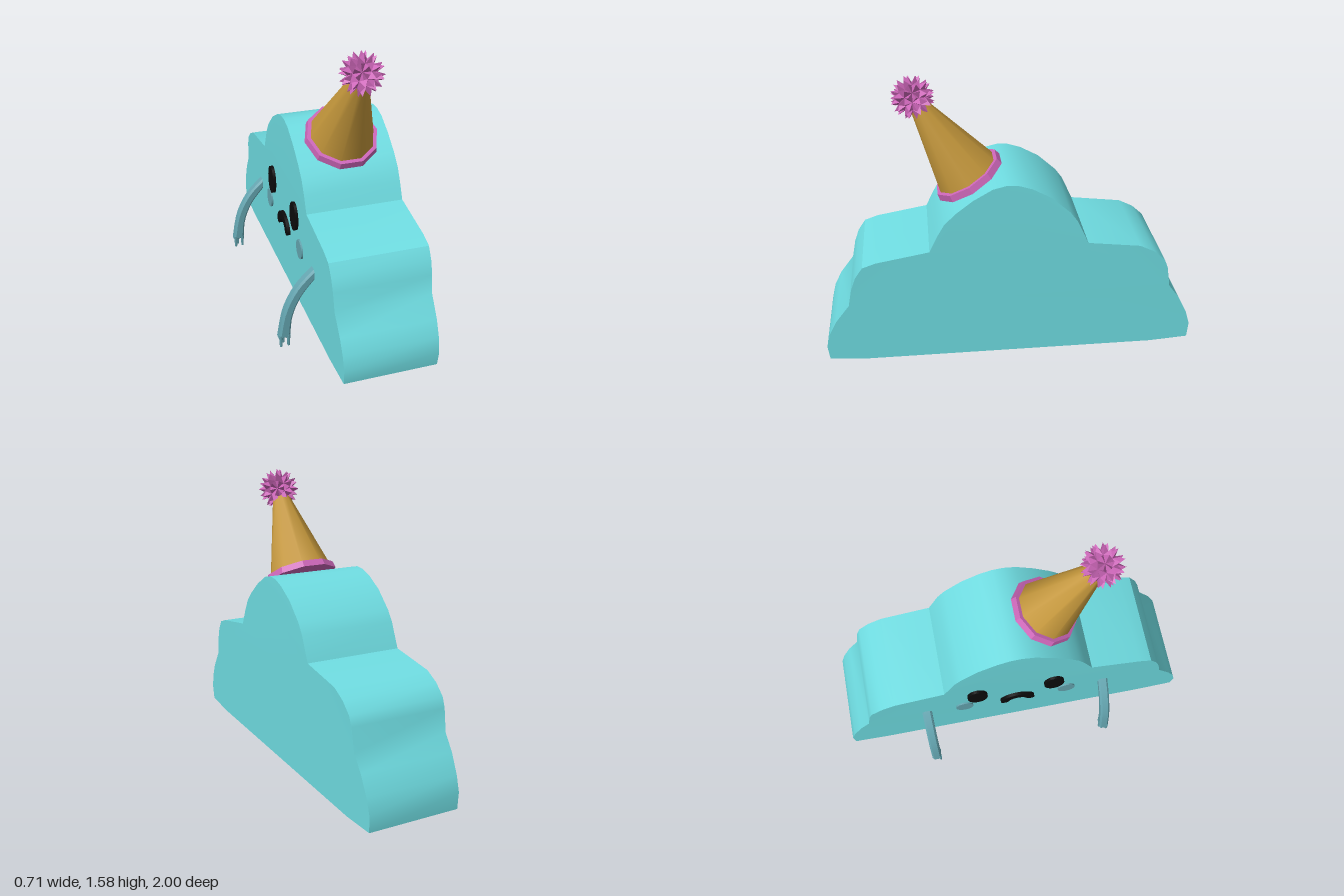
import * as THREE from 'three';
import { toCreasedNormals } from 'three/addons/utils/BufferGeometryUtils.js';

const mat = (color, flatShading = false) => new THREE.MeshStandardMaterial({ color, flatShading });
const blue = mat(0x6fdde2), armBlue = mat(0x64a5b0), black = mat(0x0c0c0c);
const gold = mat(0xc4973b), pink = mat(0xcc66b8, true);
const v2 = (pts) => pts.map(([a, b]) => new THREE.Vector2(a, b));

function add(parent, name, geometry, material, x = 0, y = 0, z = 0) {
  const m = new THREE.Mesh(geometry, material);
  m.name = name;
  m.position.set(x, y, z);
  parent.add(m);
  return m;
}

// Extrudes a (-z, y) outline along +x
function slab(shape, depth, curveSegments = 20) {
  return new THREE.ExtrudeGeometry(shape, { depth, bevelEnabled: false, curveSegments }).rotateY(Math.PI / 2);
}

function ellipse(rz, ry) {
  const s = new THREE.Shape();
  s.absellipse(0, 0, rz, ry, 0, Math.PI * 2);
  return s;
}

// Cloud outline as (z, y), narrowing slightly towards the bottom
function cloudGeometry() {
  const outline = [
    [0.78, 0.055], [0.99, 0.07], [1, 0.15], [0.98, 0.23], [0.94, 0.31], [0.865, 0.41], [0.845, 0.51],
    [0.82, 0.58], [0.78, 0.64], [0.71, 0.665], [0.43, 0.715], [0.39, 0.8], [0.35, 0.87], [0.29, 0.93],
    [0.2, 1.0], [0.1, 1.058], [0.03, 1.075], [-0.03, 1.072], [-0.1, 1.05], [-0.2, 0.995], [-0.3, 0.905],
    [-0.34, 0.85], [-0.4, 0.72], [-0.68, 0.685], [-0.76, 0.645], [-0.82, 0.59], [-0.84, 0.54],
    [-0.86, 0.42], [-0.92, 0.34], [-0.97, 0.24], [-0.995, 0.16], [-0.99, 0.07], [-0.78, 0.055]
  ];
  const geo = slab(new THREE.Shape(v2(outline.map(([z, y]) => [-z, y]))), 0.525);
  const p = geo.attributes.position;
  for (let i = 0; i < p.count; i++) {
    const half = 0.2475 + 0.015 * Math.min(1, Math.max(0, (p.getY(i) - 0.06) / 0.6));
    p.setX(i, 0.0925 + (p.getX(i) > 0.2 ? half : -half));
  }
  return toCreasedNormals(geo, 0.6);
}

// Ball with a pyramid spike on every face
function spikyBall(inner, outer) {
  const src = new THREE.IcosahedronGeometry(inner, 1).attributes.position;
  const pts = [];
  for (let i = 0; i < src.count; i += 3) {
    const c = [0, 1, 2].map((k) => new THREE.Vector3().fromBufferAttribute(src, i + k));
    const tip = new THREE.Vector3().add(c[0]).add(c[1]).add(c[2]).setLength(outer);
    for (let k = 0; k < 3; k++) pts.push(c[k], c[(k + 1) % 3], tip);
  }
  const geo = new THREE.BufferGeometry().setFromPoints(pts);
  geo.computeVertexNormals();
  return geo;
}

function createFace() {
  const face = new THREE.Group();
  face.name = 'face';
  const eye = slab(ellipse(0.057, 0.083), 0.03);
  const cheek = slab(ellipse(0.05, 0.055), 0.03);
  for (const s of [-1, 1]) {
    add(face, 'eye', eye, black, -0.184, 0.592, s * 0.22);
    add(face, 'cheek', cheek, armBlue, -0.174, 0.43, s * 0.3);
  }
  // Frowning mouth: an arch with rounded ends
  const m = new THREE.Shape();
  const r = 0.08, w = 0.024, a = 0.35;
  m.absarc(0, 0, r + w, a, Math.PI - a, false);
  m.absarc(-r * Math.cos(a), r * Math.sin(a), w, Math.PI - a, 2 * Math.PI - a, false);
  m.absarc(0, 0, r - w, Math.PI - a, a, true);
  m.absarc(r * Math.cos(a), r * Math.sin(a), w, Math.PI + a, 2 * Math.PI + a, false);
  add(face, 'mouth', slab(m, 0.03), black, -0.184, 0.393, 0.01);
  return face;
}

function createArm(z) {
  const arm = new THREE.Group();
  arm.name = 'arm';
  arm.position.z = z;
  // Curved limb seen from the front
  const outer = new THREE.SplineCurve(v2([[-0.14, 0.465], [-0.175, 0.44], [-0.26, 0.35], [-0.325, 0.22], [-0.357, 0.055]]));
  const inner = new THREE.SplineCurve(v2([[-0.295, 0.055], [-0.282, 0.18], [-0.235, 0.295], [-0.165, 0.385], [-0.14, 0.41]]));
  const shape = new THREE.Shape([...outer.getPoints(14), ...inner.getPoints(14)]);
  const limb = new THREE.ExtrudeGeometry(shape, {
    depth: 0.035, bevelThickness: 0.01, bevelSize: 0.01, bevelOffset: -0.01, bevelSegments: 1
  }).translate(0, 0, -0.0175);
  add(arm, 'limb', toCreasedNormals(limb, 0.5), armBlue);
  // Two fingers on one side, one on the other
  for (const [x, dz, low] of [[-0.346, 0.019, 0.004], [-0.325, -0.019, 0], [-0.305, 0.019, 0.006]]) {
    const h = 0.075 - low;
    const finger = new THREE.CylinderGeometry(0.011, 0.007, h, 6);
    add(arm, 'finger', finger, armBlue, x, low + h / 2, dz);
  }
  return arm;
}

function createHat() {
  const hat = new THREE.Group();
  hat.name = 'partyHat';
  hat.position.set(0.0925, 1.02, 0.205);
  hat.rotation.x = 0.55;
  const turn = Math.PI / 10;
  add(hat, 'hatCone', new THREE.CylinderGeometry(0.045, 0.178, 0.48, 10).rotateY(turn), gold, 0, 0.24, 0);
  add(hat, 'hatBrim', new THREE.CylinderGeometry(0.192, 0.2, 0.036, 10).rotateY(turn), pink, 0, 0.003, 0);
  add(hat, 'pompom', spikyBall(0.075, 0.114), pink, 0, 0.522, 0);
  return hat;
}

export function createModel() {
  const model = new THREE.Group();
  model.name = 'cloudWithPartyHat';
  add(model, 'cloudBody', cloudGeometry(), blue);
  model.add(createFace(), createArm(0.52), createArm(-0.52), createHat());
  return model;
}
